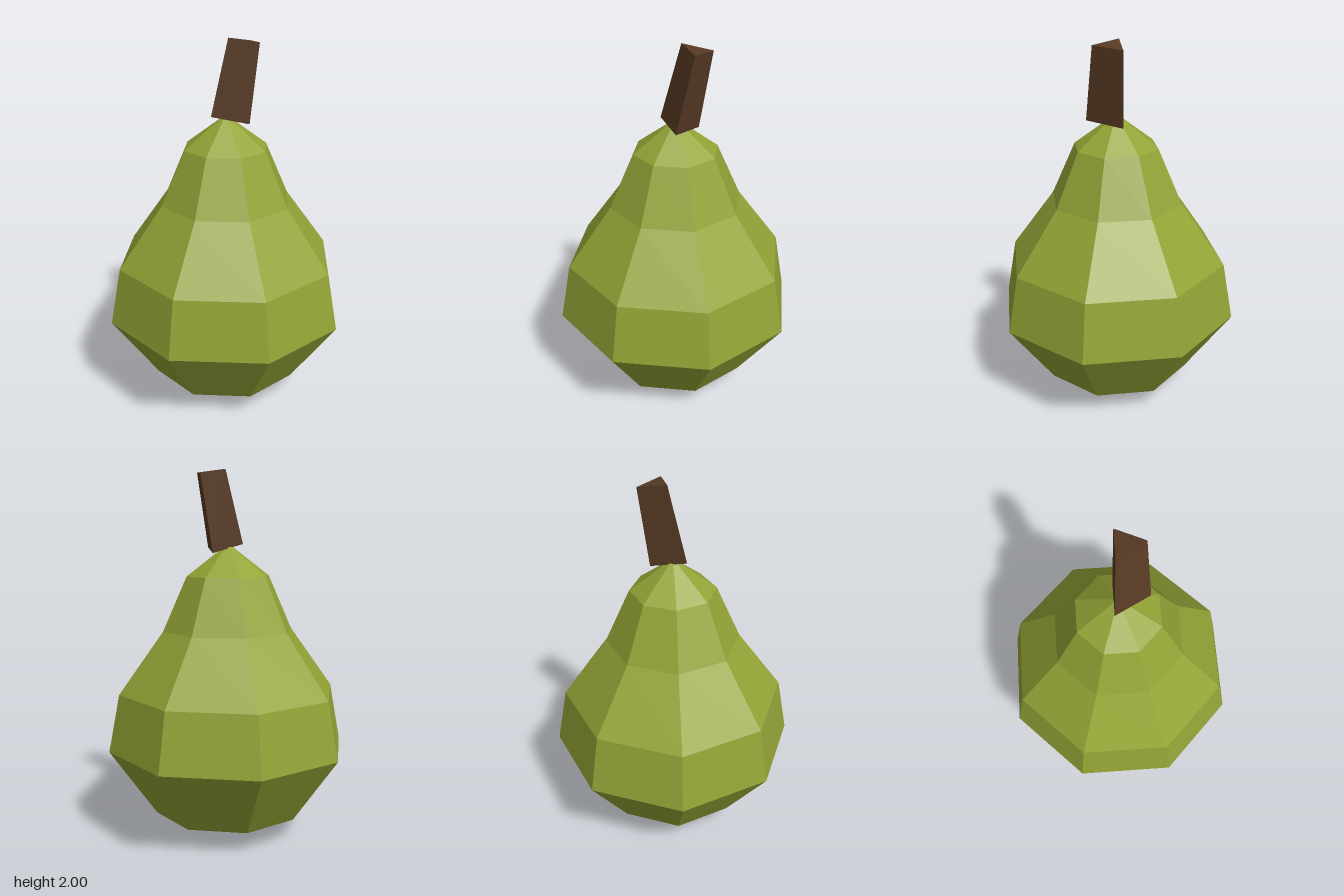
import * as THREE from 'three';

// Solid prism lofted between two matching rings (counterclockwise from above)
function loft(bottom, top) {
  const n = bottom.length;
  const index = [];
  for (let i = 0; i < n; i++) {
    const j = (i + 1) % n;
    index.push(i, j, n + j, i, n + j, n + i);
  }
  for (let i = 1; i < n - 1; i++) {
    index.push(0, i + 1, i, n, n + i, n + i + 1);
  }
  const geometry = new THREE.BufferGeometry();
  geometry.setAttribute('position', new THREE.Float32BufferAttribute([...bottom, ...top].flat(), 3));
  geometry.setIndex(index);
  const flat = geometry.toNonIndexed();
  flat.computeVertexNormals();
  return flat;
}

export function createModel() {
  const model = new THREE.Group();
  model.name = 'pear';

  const pearSkin = new THREE.MeshStandardMaterial({ name: 'pearSkin', color: 0x94a436, flatShading: true });
  const stemBark = new THREE.MeshStandardMaterial({ name: 'stemBark', color: 0x573a24, flatShading: true });

  // Eight-sided fruit, closed to a point at both ends
  const profile = [
    [0, 0], [0.41, 0.125], [0.665, 0.49], [0.605, 0.805],
    [0.362, 1.14], [0.23, 1.435], [0, 1.61],
  ].map(([r, y]) => new THREE.Vector2(r, y));
  const fruit = new THREE.Mesh(new THREE.LatheGeometry(profile, 8), pearSkin);
  fruit.name = 'fruit';
  model.add(fruit);

  // Leaning three-sided stem
  const stem = new THREE.Mesh(loft(
    [[-0.085, 1.605, 0.01], [0.08, 1.585, 0.14], [0.1, 1.56, -0.065]],
    [[0.02, 2, -0.02], [0.152, 1.985, 0.083], [0.168, 1.97, -0.08]],
  ), stemBark);
  stem.name = 'stem';
  model.add(stem);

  return model;
}
